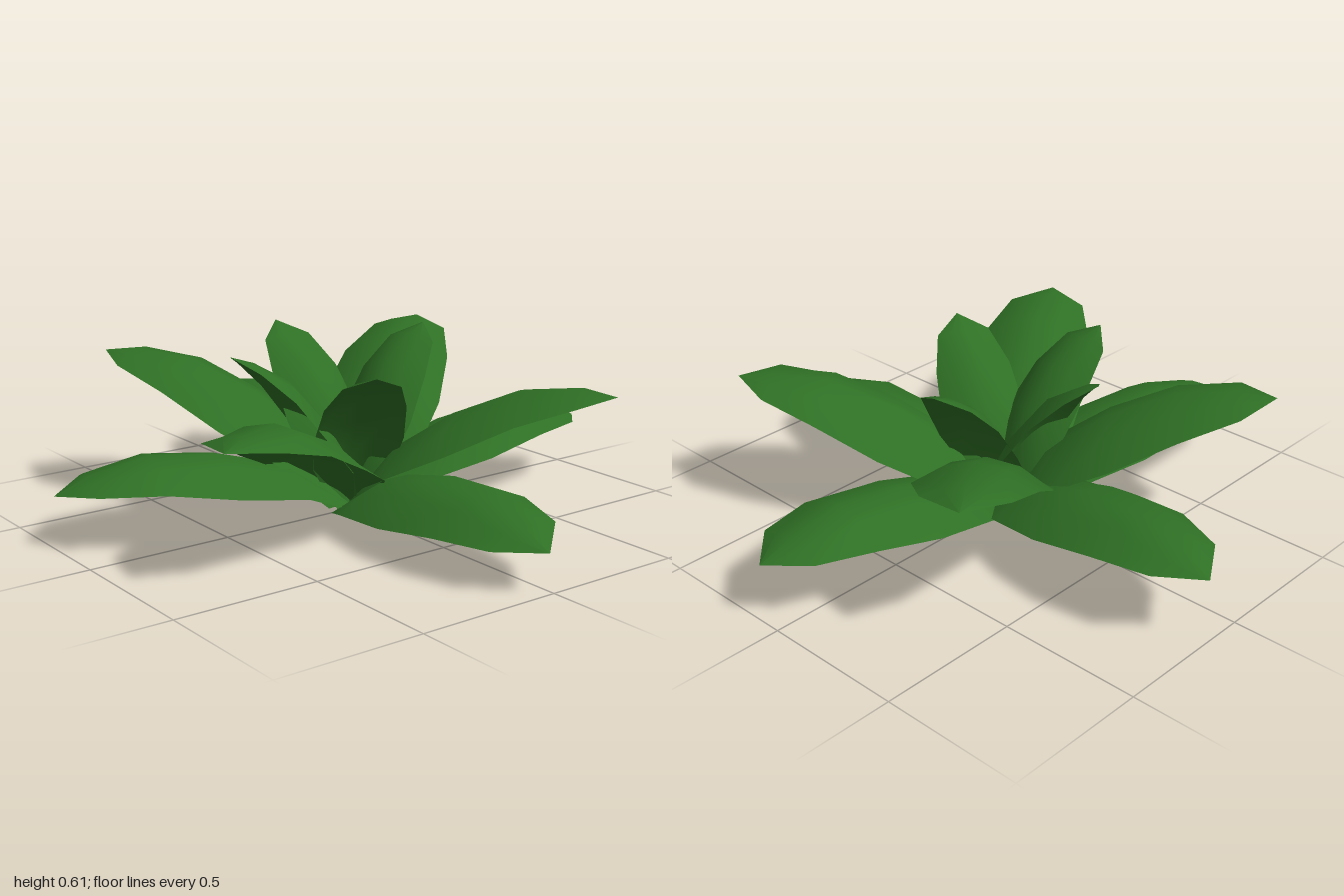
import * as THREE from 'three';

// Leaf stations from stem to tip: [distance, midrib height, half width, edge droop]
const STATIONS = [
  [0, 0.02, 0.08, 0.008],
  [0.22, 0.185, 0.2, 0.06],
  [0.45, 0.26, 0.22, 0.095],
  [0.69, 0.29, 0.197, 0.08],
  [0.89, 0.25, 0.137, 0.035],
  [1.005, 0.2, 0, 0],
];
const TIP = STATIONS[STATIONS.length - 1];
const TIP_LENGTH = Math.hypot(TIP[0], TIP[1]);
const TIP_ANGLE = Math.atan2(TIP[1], TIP[0]);

// One arched leaf blade pointing along +x
function leafGeometry() {
  const across = 4, along = STATIONS.length - 1;
  const geo = new THREE.PlaneGeometry(along, 2, along, across).rotateX(-Math.PI / 2);
  const p = geo.attributes.position;
  for (let i = 0; i < p.count; i++) {
    const [d, h, w, droop] = STATIONS[Math.round(p.getX(i) + along / 2)];
    const s = p.getZ(i);
    p.setXYZ(i, d, h - droop * s * s, w * s);
  }
  geo.computeVertexNormals();
  return geo;
}

// Each leaf is given by its tip: x, y, z and an optional roll about its axis
const LEAVES = {
  lowLeaf: [[0.15, 0.23, -0.998], [0.99, 0.2, 0.077], [0.01, 0.13, 0.997, 0.15], [-0.992, 0.172, -0.245]],
  middleLeaf: [[0.72, 0.52, -0.52], [0.535, 0.46, 0.725], [-0.8, 0.445, 0.47], [-0.52, 0.5, -0.755]],
  innerLeaf: [[-0.025, 0.605, -0.405], [0.385, 0.6, -0.08], [-0.19, 0.56, 0.39], [-0.43, 0.58, -0.075]],
};

export function createModel() {
  const plant = new THREE.Group();
  plant.name = 'plant';
  const leafGreen = new THREE.MeshStandardMaterial({ color: 0x2f7025, side: THREE.DoubleSide });
  leafGreen.name = 'leafGreen';
  const geo = leafGeometry();

  // Three whorls of leaves around the centre
  for (const [name, tips] of Object.entries(LEAVES)) {
    tips.forEach(([x, y, z, roll = 0], i) => {
      const leaf = new THREE.Mesh(geo, leafGreen);
      leaf.name = name + (i + 1);
      const pitch = Math.atan2(y, Math.hypot(x, z)) - TIP_ANGLE;
      leaf.rotation.set(roll, Math.atan2(-z, x), pitch, 'YZX');
      leaf.scale.setScalar(Math.hypot(x, y, z) / TIP_LENGTH);
      plant.add(leaf);
    });
  }
  return plant;
}
